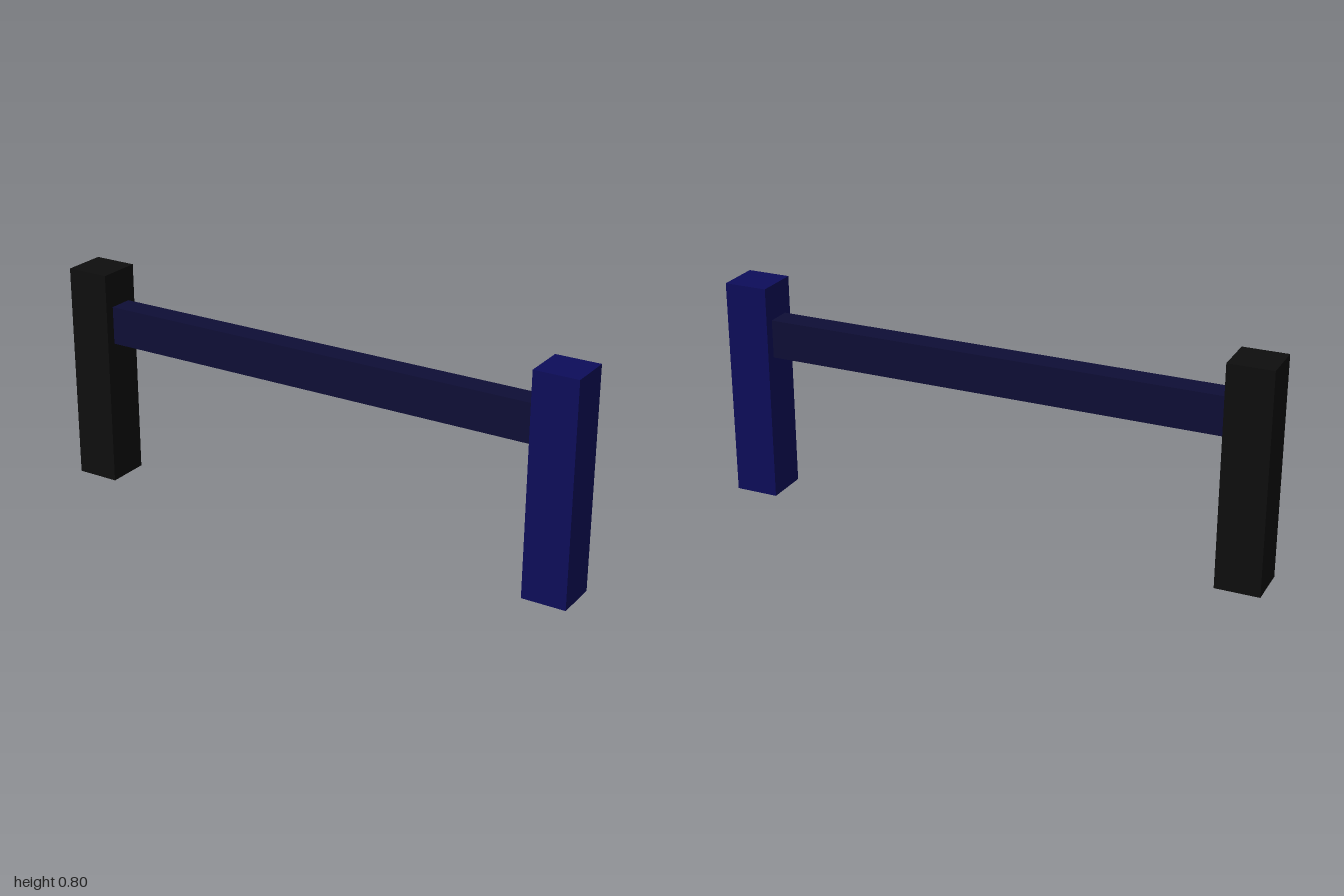
import * as THREE from 'three';

const POST = { w: 0.16, h: 0.8 };
const RAIL = { h: 0.14, d: 0.09, y: 0.603 };

// Box without the faces listed (0 +x, 1 -x, 2 +y, 3 -y, 4 +z, 5 -z)
function openBox(w, h, d, skip) {
  const geo = new THREE.BoxGeometry(w, h, d);
  const index = Array.from(geo.index.array);
  geo.setIndex(index.filter((_, i) => !skip.includes(Math.floor(i / 6))));
  geo.clearGroups();
  return geo;
}

function material(name, color) {
  const mat = new THREE.MeshStandardMaterial({ color, side: THREE.DoubleSide });
  mat.name = name;
  return mat;
}

export function createModel() {
  const group = new THREE.Group();
  group.name = 'barrier';
  const navy = material('navy', 0x0d0d5a);
  const black = material('black', 0x0e0e0e);
  const midnight = material('midnight blue', 0x0e0e36);

  const add = (name, geo, mat, x, y) => {
    const mesh = new THREE.Mesh(geo, mat);
    mesh.name = name;
    mesh.position.set(x, y, 0);
    group.add(mesh);
  };

  // Hollow end posts, open at the foot
  const postGeo = openBox(POST.w, POST.h, POST.w, [3]);
  const postX = 1 - POST.w / 2;
  add('leftPost', postGeo, navy, postX, POST.h / 2);
  add('rightPost', postGeo, black, -postX, POST.h / 2);

  // Rail between the posts, its ends hidden against them
  add('rail', openBox(2 - 2 * POST.w, RAIL.h, RAIL.d, [0, 1]), midnight, 0, RAIL.y);
  return group;
}
